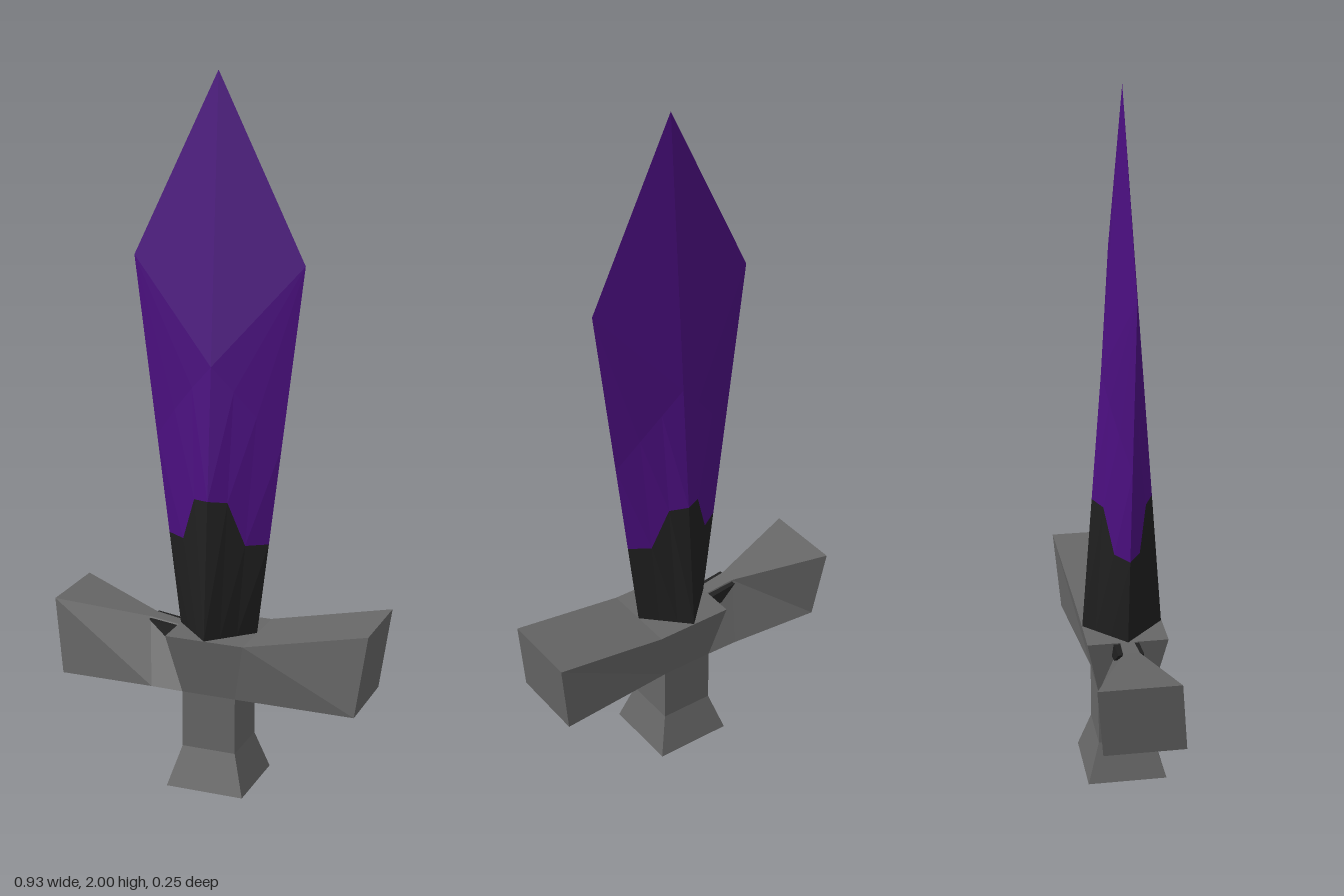
import * as THREE from 'three';

const purple = new THREE.MeshStandardMaterial({ color: 0x4b0f80 });
purple.name = 'purple';
const black = new THREE.MeshStandardMaterial({ color: 0x1f1f1f });
black.name = 'black';
const grey = new THREE.MeshStandardMaterial({ color: 0x666666 });
grey.name = 'grey';

const ZC = 0.011; // depth of the blade and hilt axis

// Flat-shaded mesh from a list of triangles
function triMesh(name, tris, material) {
  const geo = new THREE.BufferGeometry();
  geo.setAttribute('position', new THREE.Float32BufferAttribute(tris.flat(2), 3));
  geo.computeVertexNormals();
  const mesh = new THREE.Mesh(geo, material);
  mesh.name = name;
  return mesh;
}

const quad = (a, b, c, d) => [[a, b, c], [a, c, d]];

// Capped loft through four-cornered rings, counterclockwise seen from the far end
function loft(name, rings, material) {
  const first = rings[0], last = rings[rings.length - 1];
  const tris = [...quad(...[...first].reverse()), ...quad(...last)];
  for (let r = 0; r + 1 < rings.length; r++) {
    for (let i = 0; i < 4; i++) {
      const j = (i + 1) % 4;
      tris.push(...quad(rings[r][i], rings[r][j], rings[r + 1][j], rings[r + 1][i]));
    }
  }
  return triMesh(name, tris, material);
}

// Level square ring around the hilt axis
const square = (y, h) => [[h, y, ZC + h], [h, y, ZC - h], [-h, y, ZC - h], [-h, y, ZC + h]];

// Guard arm ring: top and bottom edges, each [x, y, back z, front z]
const armRing = ([tx, ty, tb, tf], [bx, by, bb, bf]) =>
  [[tx, ty, tb], [tx, ty, tf], [bx, by, bf], [bx, by, bb]];

function makeBlade() {
  const base = 0.455, shoulder = 1.5, tip = 2;
  const columns = [0, 0.3, 0.62, 1];
  const borderY = [0.85, 0.845, 0.72, 0.72];
  const width = (y) => 0.115 + (y - base) * 0.1244;
  const depth = (y) => (tip - y) * 0.0735;
  const upper = [], lower = [];

  // Four mirrored quarters, each running from the ridge to the cutting edge
  for (const sx of [1, -1]) for (const sz of [1, -1]) {
    const point = (u, y) => [sx * u * width(y), y, ZC + sz * (1 - u) * depth(y)];
    const add = (list, tris) =>
      tris.forEach((t) => list.push(sx * sz > 0 ? t : [t[0], t[2], t[1]]));
    const baseRow = columns.map((u) => point(u, base));
    const border = columns.map((u, i) => point(u, borderY[i]));
    const crease = columns.map((u) => point(u, 1.22 - 0.22 * u));
    const edge = point(1, shoulder);
    for (let i = 0; i < 3; i++) {
      add(lower, quad(baseRow[i], baseRow[i + 1], border[i + 1], border[i]));
      add(upper, quad(border[i], border[i + 1], crease[i + 1], crease[i]));
      add(upper, [[crease[i], crease[i + 1], edge]]);
    }
    add(upper, [[crease[0], edge, [0, tip, ZC]]]);
  }
  const blade = new THREE.Group();
  blade.name = 'blade';
  blade.add(triMesh('bladeUpper', upper, purple), triMesh('bladeBase', lower, black));
  return blade;
}

export function createModel() {
  const model = new THREE.Group();
  model.name = 'sword';
  model.add(makeBlade());

  // Hilt: flared pommel, straight grip, flared collar
  model.add(loft('pommel', [square(0, 0.114), square(0.115, 0.079)], grey));
  model.add(loft('grip', [square(0.115, 0.079), square(0.28, 0.079)], grey));
  model.add(loft('collar', [square(0.28, 0.079), square(0.455, 0.115)], grey));

  // Left arm keeps its full thickness
  model.add(loft('leftGuardArm', [
    armRing([0.115, 0.455, -0.104, 0.126], [0.079, 0.28, -0.068, 0.09]),
    armRing([0.465, 0.525, -0.128, 0.1], [0.435, 0.295, -0.108, 0.12]),
  ], grey));

  // Right arm pinches to a narrow ridge at the collar
  model.add(loft('rightGuardArm', [
    armRing([-0.465, 0.51, -0.128, 0.1], [-0.435, 0.295, -0.108, 0.12]),
    armRing([-0.2, 0.467, -0.015, 0.03], [-0.17, 0.285, -0.075, 0.098]),
    armRing([-0.115, 0.455, -0.01, 0.028], [-0.079, 0.28, -0.068, 0.09]),
  ], grey));

  // Dark chip straddling the ridge
  model.add(loft('ridgeChip', [
    armRing([-0.2, 0.463, -0.03, 0.042], [-0.15, 0.42, -0.034, 0.046]),
    armRing([-0.105, 0.45, -0.03, 0.042], [-0.105, 0.41, -0.034, 0.046]),
  ], black));

  return model;
}
